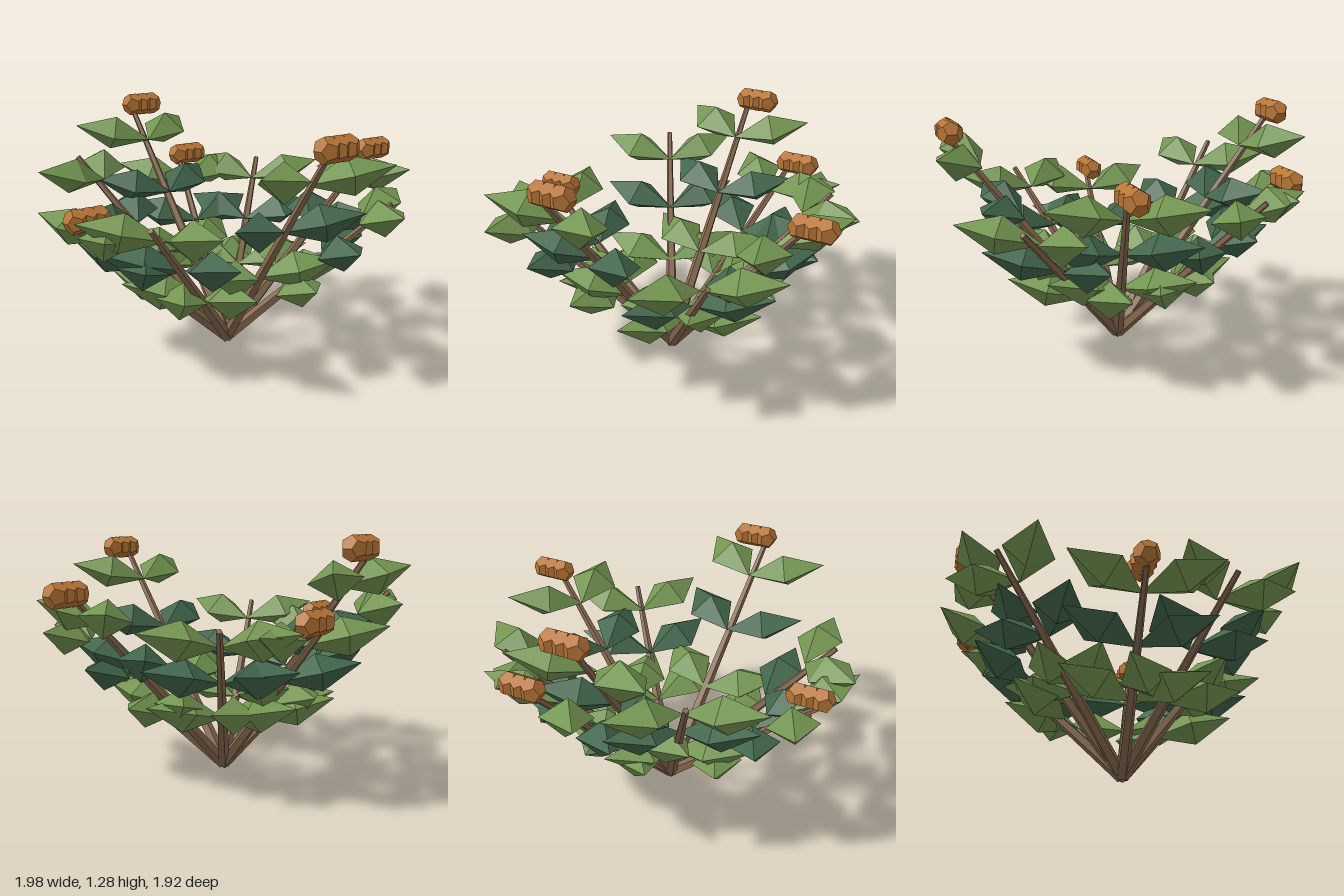
import * as THREE from 'three';

const material = (color) =>
  new THREE.MeshStandardMaterial({ color, flatShading: true });

export function createModel() {
  const bush = new THREE.Group();
  bush.name = 'bush';

  const bark = material(0x86694f);
  const paleGreen = material(0x739551);
  const darkGreen = material(0x42664c);
  const orange = material(0xb87536);

  const leafGeometry = new THREE.OctahedronGeometry(1).scale(0.215, 0.095, 0.13);
  const berryGeometry = new THREE.DodecahedronGeometry(0.066);

  const base = new THREE.Vector3(-0.017, 0.02, 0.005);
  const up = new THREE.Vector3(0, 1, 0);

  // Stem tips, and whether each carries a berry cluster
  const stems = [
    [-0.165, 1.13, 0.86, true],
    [0.81, 0.96, 0.23, true],
    [0.56, 0.79, 0.64, false],
    [0.66, 0.87, -0.52, false],
    [0.275, 0.86, -0.8, true],
    [-0.02, 1.18, -0.85, true],
    [-0.48, 0.97, -0.72, false],
    [-0.877, 0.75, -0.07, true],
    [-0.78, 0.82, 0.4, false],
  ];

  // Leaf pairs: position along the stem, lift above it and colour
  const levels = [
    { name: 'lowerLeaf', t: 0.35, lift: 0.03, mat: paleGreen },
    { name: 'middleLeaf', t: 0.59, lift: 0.045, mat: darkGreen },
    { name: 'upperLeaf', t: 0.82, lift: 0.055, mat: paleGreen },
  ];

  const leafSpread = 1.08;
  const leafPitch = 0.22;
  const leafRoll = 0.15;

  for (const [x, y, z, hasBerries] of stems) {
    const branch = new THREE.Group();
    branch.name = 'branch';
    const tip = new THREE.Vector3(x, y, z);
    const direction = tip.clone().sub(base);
    const length = direction.length();
    direction.normalize();

    // Tapered stem
    const stem = new THREE.Mesh(
      new THREE.CylinderGeometry(0.015, 0.034, length, 5), bark);
    stem.name = 'stem';
    stem.position.copy(base).lerp(tip, 0.5);
    stem.quaternion.setFromUnitVectors(up, direction);
    branch.add(stem);

    // Leaves fan out to both sides, tips and outer edges slightly raised
    const heading = Math.atan2(direction.z, direction.x);
    for (const { name, t, lift, mat } of levels) {
      for (const side of [-1, 1]) {
        const leaf = new THREE.Mesh(leafGeometry, mat);
        leaf.name = name;
        leaf.rotation.set(
          side * leafRoll, -heading - side * leafSpread, leafPitch, 'YZX');
        leaf.position.copy(base).lerp(tip, t);
        leaf.position.y += lift;
        leaf.translateX(0.21);
        branch.add(leaf);
      }
    }

    // Row of three berries at the tip
    if (hasBerries) {
      for (let i = 0; i < 3; i++) {
        const berry = new THREE.Mesh(berryGeometry, orange);
        berry.name = 'berry';
        berry.position.set(x + i * 0.06, y + 0.037, z);
        branch.add(berry);
      }
    }
    bush.add(branch);
  }
  return bush;
}
